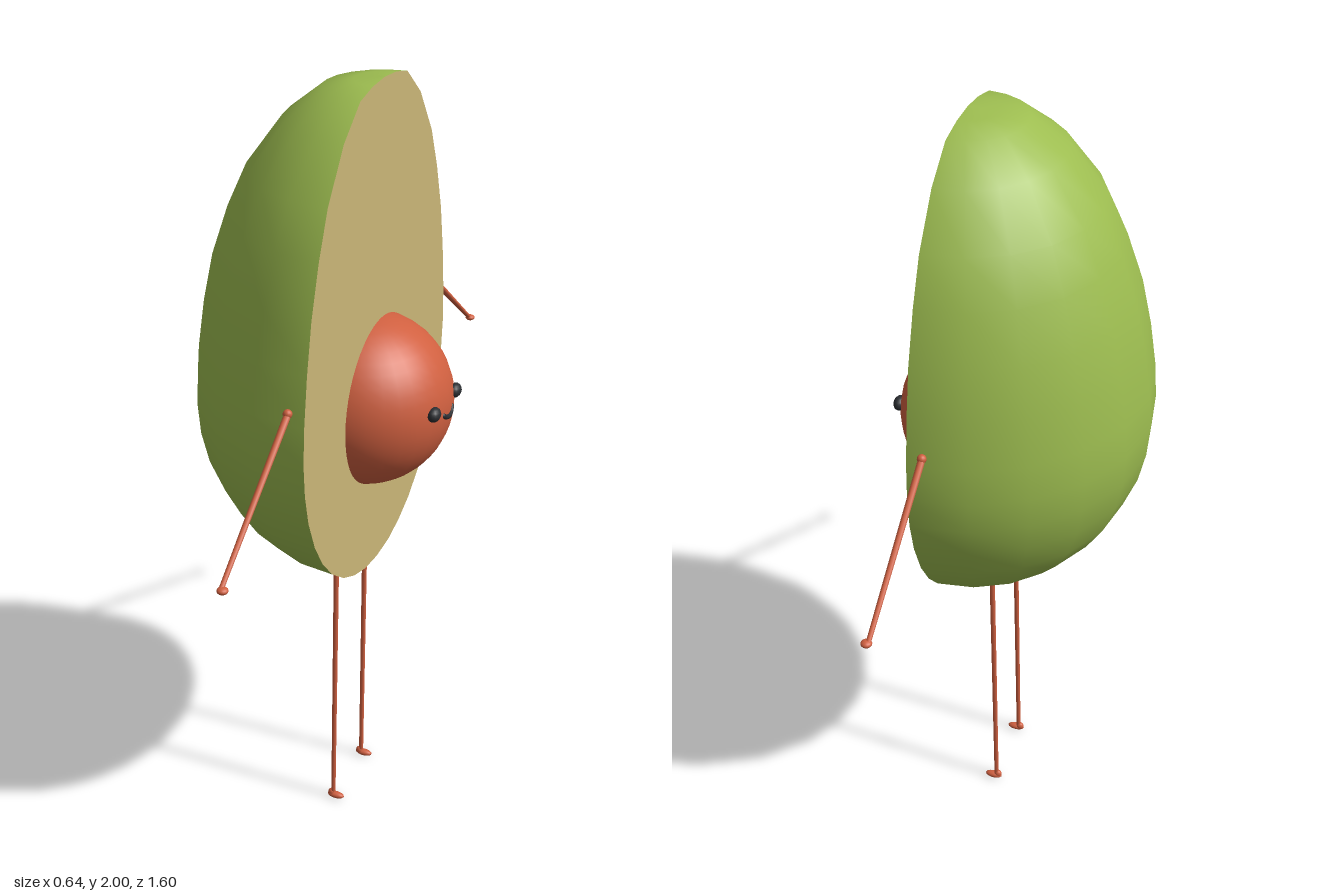
import * as THREE from 'three';

const mat = (name, color, side = THREE.FrontSide) => {
  const m = new THREE.MeshStandardMaterial({ color, side });
  m.name = name;
  return m;
};

export function createModel() {
  const skin = mat('green skin', 0x9dbd50, THREE.DoubleSide);
  const flesh = mat('pale flesh', 0xcab678);
  const brown = mat('red brown', 0xd06040);
  const black = mat('black', 0x2b2e32);
  const group = new THREE.Group();
  const add = (name, geometry, material, parent = group) => {
    const mesh = new THREE.Mesh(geometry, material);
    mesh.name = name;
    parent.add(mesh);
    return mesh;
  };
  // Tapered rod between two points
  const rod = (a, b, ra, rb) => {
    const dir = b.clone().sub(a);
    const g = new THREE.CylinderGeometry(rb, ra, dir.length(), 8);
    g.applyQuaternion(new THREE.Quaternion().setFromUnitVectors(
      new THREE.Vector3(0, 1, 0), dir.clone().normalize()));
    const mid = a.clone().add(b).multiplyScalar(0.5);
    return g.translate(mid.x, mid.y, mid.z);
  };
  const V = (x, y, z) => new THREE.Vector3(x, y, z);
  const blob = (name, material, pos, rx, ry, rz, parent) => {
    const m = add(name, new THREE.SphereGeometry(1, 14, 10), material, parent);
    m.scale.set(rx, ry, rz);
    m.position.copy(pos);
    return m;
  };

  // Half fruit: radius and height from base to tip
  const cutX = 0.13;
  const profile = [
    [0, 0.753], [0.08, 0.76], [0.15, 0.78], [0.22, 0.813], [0.29, 0.865], [0.345, 0.925],
    [0.39, 0.995], [0.425, 1.08], [0.443, 1.16], [0.449, 1.24], [0.444, 1.33],
    [0.427, 1.45], [0.402, 1.57], [0.362, 1.69], [0.315, 1.795], [0.23, 1.91],
    [0.14, 1.98], [0.07, 1.995], [0, 2],
  ].map(([r, y]) => new THREE.Vector2(r, y));
  add('fruitSkin', new THREE.LatheGeometry(profile, 10, Math.PI, Math.PI), skin).position.x = cutX;

  // Flat cut face, turned to +x
  const outline = [...profile, ...profile.slice(1, -1).reverse().map(p => new THREE.Vector2(-p.x, p.y))];
  const face = new THREE.ShapeGeometry(new THREE.Shape(outline));
  face.rotateY(Math.PI / 2);
  add('cutFace', face, flesh).position.x = cutX;

  // Stone with its face
  const stone = add('stone', new THREE.SphereGeometry(0.217, 32, 24), brown);
  stone.position.set(0.095, 1.207, 0);
  const smile = new THREE.CatmullRomCurve3([
    V(0.306, 1.209, 0.03), V(0.309, 1.2, 0.016), V(0.311, 1.197, 0),
    V(0.309, 1.2, -0.016), V(0.306, 1.209, -0.03)]);
  add('mouth', new THREE.TubeGeometry(smile, 16, 0.007, 8), black);
  blob('mouthEndLeft', black, V(0.306, 1.209, -0.03), 0.007, 0.007, 0.007);
  blob('mouthEndRight', black, V(0.306, 1.209, 0.03), 0.007, 0.007, 0.007);

  // Mirrored eyes, arms and legs
  for (const s of [1, -1]) {
    blob('eye', black, V(0.299, 1.23, 0.073 * s), 0.016, 0.018, 0.023);

    const arm = new THREE.Group();
    arm.name = 'arm';
    group.add(arm);
    add('armRod', rod(V(0.091, 1.36, 0.445 * s), V(0.092, 1.11, 0.782 * s), 0.009, 0.006), brown, arm);
    blob('shoulder', brown, V(0.091, 1.362, 0.445 * s), 0.011, 0.011, 0.011, arm);
    blob('hand', brown, V(0.096, 1.107, 0.785 * s), 0.013, 0.008, 0.013, arm);

    const leg = new THREE.Group();
    leg.name = 'leg';
    group.add(leg);
    add('legRod', rod(V(0.057, 0.79, 0.095 * s), V(0.051, 0.01, 0.1 * s), 0.007, 0.006), brown, leg);
    blob('foot', brown, V(0.059, 0.009, 0.101 * s), 0.024, 0.009, 0.011, leg);
    blob('heel', brown, V(0.047, 0.014, 0.1 * s), 0.011, 0.012, 0.009, leg);
  }
  return group;
}
